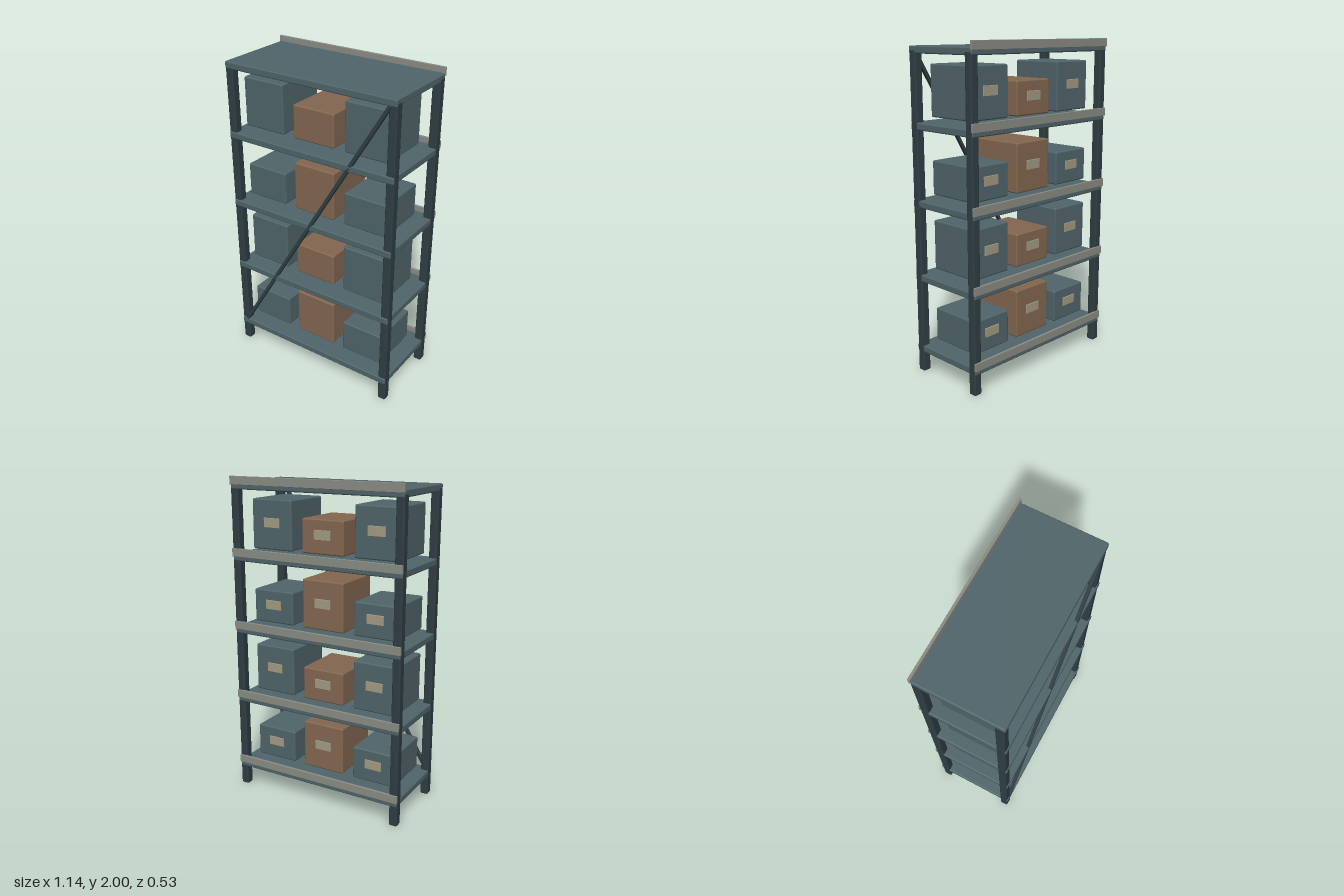
import * as THREE from 'three';
import { RoundedBoxGeometry } from 'three/addons/geometries/RoundedBoxGeometry.js';

const mat = (color) => new THREE.MeshStandardMaterial({ color });

export function createModel() {
  const model = new THREE.Group();
  const steel = mat(0x2f3e44);
  const teal = mat(0x50656a);
  const card = mat(0x836750);
  const grey = mat(0x8a8c84);
  const paper = mat(0xa39a82);

  // Softly rounded block given by size and centre
  const block = (name, material, [w, h, d], [x, y, z], r = 0.006, parent = model) => {
    const mesh = new THREE.Mesh(new RoundedBoxGeometry(w, h, d, 2, r), material);
    mesh.name = name;
    mesh.position.set(x, y, z);
    parent.add(mesh);
    return mesh;
  };

  // Four corner posts
  for (const sx of [-1, 1])
    for (const sz of [-1, 1])
      block('post', steel, [0.052, 1.945, 0.052], [sx * 0.544, 0.9725, sz * 0.23], 0.009);

  // Shelves, each with a raised lip along the back
  const levels = [0.148, 0.604, 1.06, 1.516, 1.945];
  for (const y of levels) {
    block('shelf', teal, [1.136, 0.043, 0.52], [0, y, 0.002], 0.008);
    block('backLip', grey, [1.14, 0.05, 0.015], [0, y + 0.031, -0.257], 0.002);
  }

  // Storage boxes with a label on the back, alternating tall and short
  levels.slice(0, 4).forEach((y, row) => {
    for (let col = 0; col < 3; col++) {
      const h = (row + col) % 2 ? 0.302 : 0.205;
      const box = new THREE.Group();
      box.name = 'storageBox';
      box.position.set(-0.361 + col * 0.352, y + 0.049, 0.009);
      block('boxBody', col === 1 ? card : teal, [0.28, h, 0.342], [0, h / 2, 0], 0.009, box);
      block('boxLabel', paper, [0.11, 0.058, 0.012], [0, h / 2 + 0.011, -0.171], 0.002, box);
      model.add(box);
    }
  });

  // Diagonal brace across the front
  const a = new THREE.Vector2(-0.53, 0.165);
  const b = new THREE.Vector2(0.53, 1.93);
  const brace = block('diagonalBrace', steel, [0.022, a.distanceTo(b), 0.022],
    [(a.x + b.x) / 2, (a.y + b.y) / 2, 0.251], 0.003);
  brace.rotation.z = -Math.atan2(b.x - a.x, b.y - a.y);

  return model;
}
